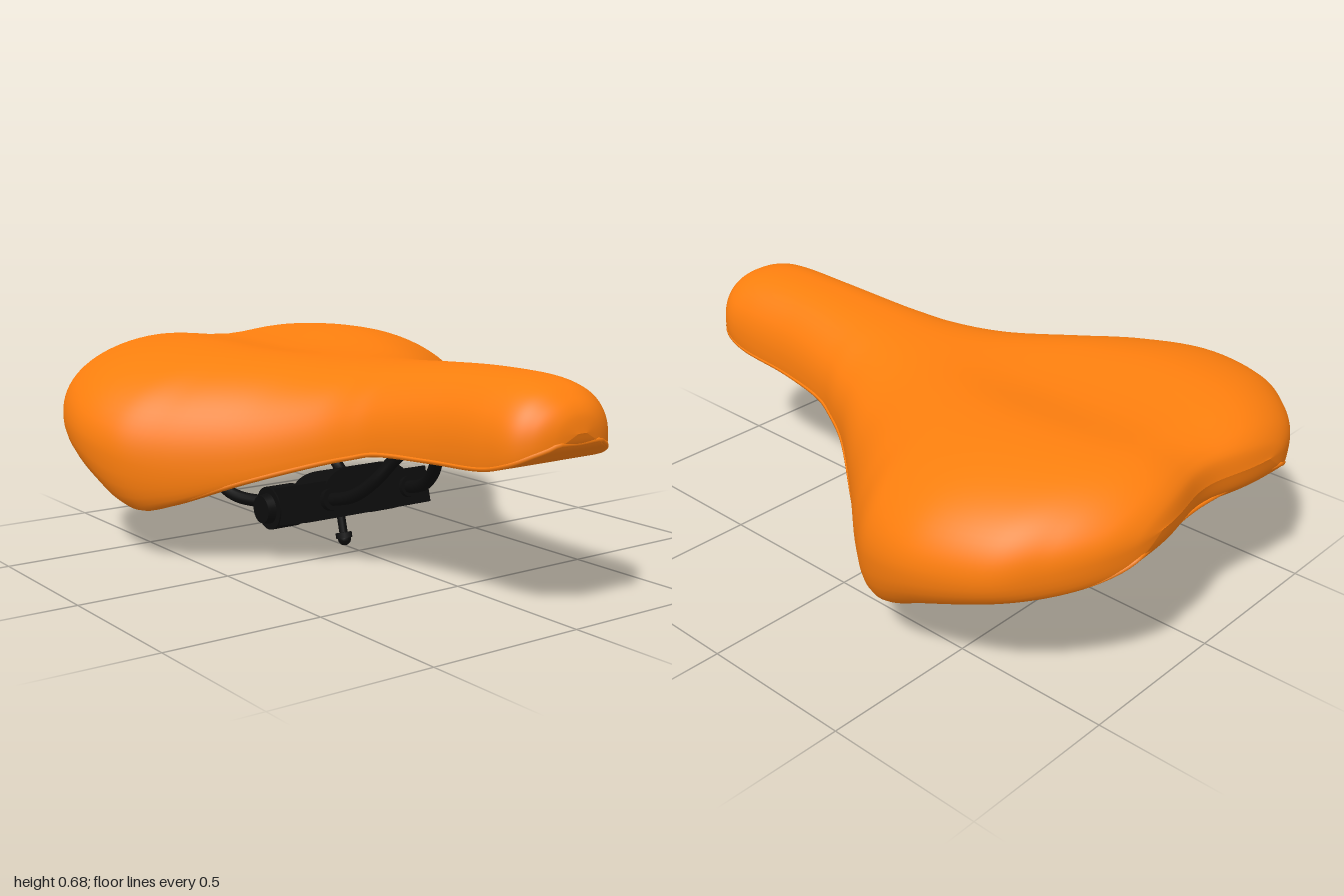
import * as THREE from 'three';

const orange = new THREE.MeshStandardMaterial({ color: 0xff7f0e, side: THREE.DoubleSide });
const black = new THREE.MeshStandardMaterial({ color: 0x0c0c0c });

// Saddle stations from tail to nose:
// x, half width, top y, widest y, lower edge y, underside y at middle, lower edge width ratio
const STATIONS = [
  [-1.0, 0.26, 0.50, 0.50, 0.50, 0.50, 1.0],
  [-0.985, 0.36, 0.567, 0.48, 0.435, 0.44, 0.97],
  [-0.94, 0.47, 0.616, 0.465, 0.395, 0.4, 0.94],
  [-0.86, 0.577, 0.652, 0.445, 0.36, 0.365, 0.92],
  [-0.74, 0.685, 0.668, 0.415, 0.327, 0.342, 0.9],
  [-0.53, 0.748, 0.672, 0.385, 0.25, 0.358, 0.87],
  [-0.34, 0.722, 0.666, 0.34, 0.16, 0.42, 0.87],
  [-0.2, 0.63, 0.66, 0.31, 0.185, 0.46, 0.93],
  [0.0, 0.46, 0.65, 0.32, 0.27, 0.49, 0.98],
  [0.18, 0.322, 0.65, 0.375, 0.338, 0.49, 0.99],
  [0.3, 0.262, 0.656, 0.41, 0.375, 0.46, 0.99],
  [0.4, 0.23, 0.663, 0.43, 0.398, 0.405, 0.99],
  [0.6, 0.2, 0.675, 0.45, 0.408, 0.41, 0.98],
  [0.8, 0.194, 0.676, 0.47, 0.42, 0.42, 0.97],
  [0.9, 0.182, 0.66, 0.49, 0.445, 0.445, 0.96],
  [0.955, 0.143, 0.628, 0.505, 0.473, 0.473, 0.96],
  [0.987, 0.085, 0.588, 0.52, 0.498, 0.498, 0.97],
  [1.0, 0.015, 0.535, 0.535, 0.535, 0.535, 1.0],
];

// Smooth value of every station column at t in 0..1
function station(t) {
  const last = STATIONS.length - 1;
  const f = t * last, i = Math.min(Math.floor(f), last - 1), u = f - i;
  const row = k => STATIONS[Math.max(0, Math.min(last, k))];
  return STATIONS[0].map((_, c) => {
    const [a, b, d, e] = [row(i - 1)[c], row(i)[c], row(i + 1)[c], row(i + 2)[c]];
    return b + 0.5 * u * (d - a + u * (2 * a - 5 * b + 4 * d - e + u * (3 * (b - d) + e - a)));
  });
}

const bump = (x, centre, width) => Math.exp(-(((x - centre) / width) ** 2));

// Hollow of the tail edge, seen from above
const notch = (x, z) => x + 0.045 * THREE.MathUtils.smoothstep(-x, 0.55, 1) * bump(z, 0, 0.16);

// Half cross-section as [z, y]: top, rounded edge, arched underside
function halfSection([x, w, top, mid, low, under, ratio]) {
  const pts = [];
  const round = 0.85 + 0.13 * bump(x, 0.08, 0.2) - 0.2 * bump(x, -0.63, 0.3);
  const groove = 0.045 * (w / 0.745) ** 2 * Math.min(1, (top - mid) / 0.12);
  for (let k = 0; k <= 24; k++) {
    const a = (k / 24) * Math.PI / 2;
    const z = w * Math.sin(a) ** round;
    const y = mid + (top - mid) * Math.max(0, Math.cos(a)) ** 0.93;
    pts.push([z, y - groove * bump(z, 0, 0.2)]);
  }
  for (let k = 1; k <= 6; k++) {
    const a = (k / 6) * Math.PI / 2;
    pts.push([w * (ratio + (1 - ratio) * Math.cos(a)), mid + (low - mid) * Math.sin(a)]);
  }
  for (let k = 0; k <= 14; k++) {
    const s = 1 - k / 14;
    pts.push([w * ratio * 0.965 * s, low + (under - low) * (1 - s ** 2.2)]);
  }
  return pts;
}

function saddleGeometry() {
  const N = 144, pos = [], idx = [];
  let M = 0;
  for (let i = 0; i <= N; i++) {
    const s = station(i / N), half = halfSection(s);
    const ring = [...half, ...half.slice(1, -1).reverse().map(([z, y]) => [-z, y])];
    M = ring.length;
    for (const [z, y] of ring) pos.push(notch(s[0], z), y, z);
  }
  for (let i = 0; i < N; i++) {
    for (let j = 0; j < M; j++) {
      const a = i * M + j, b = i * M + (j + 1) % M;
      idx.push(a, b, a + M, b, b + M, a + M);
    }
  }
  const g = new THREE.BufferGeometry();
  g.setAttribute('position', new THREE.Float32BufferAttribute(pos, 3));
  g.setIndex(idx);
  g.computeVertexNormals();
  return g;
}

// Bead that follows the lower edge all the way round
function edgeBeadGeometry() {
  const side = [];
  for (let i = 4; i < 69; i++) {
    const s = station(i / 72);
    side.push(new THREE.Vector3(s[0], s[4] + 0.008, s[1] * s[6]));
  }
  const other = side.map(p => new THREE.Vector3(p.x, p.y, -p.z)).reverse();
  const nose = new THREE.Vector3(0.985, 0.505, 0);
  const tail = new THREE.Vector3(-0.94, 0.435, 0);
  const path = new THREE.CatmullRomCurve3([...side, nose, ...other, tail], true);
  return new THREE.TubeGeometry(path, 260, 0.007, 6, true);
}

function add(parent, name, geometry, material, x = 0, y = 0, z = 0) {
  const m = new THREE.Mesh(geometry, material);
  m.name = name;
  m.position.set(x, y, z);
  parent.add(m);
  return m;
}

export function createModel() {
  const model = new THREE.Group();
  model.name = 'bicycleSaddle';
  add(model, 'saddleShell', saddleGeometry(), orange);
  add(model, 'edgeBead', edgeBeadGeometry(), orange);

  // Pair of bent rails with sleeves at the tail
  for (const side of [1, -1]) {
    const v = ([x, y, z]) => new THREE.Vector3(x, y, z * side);
    const rail = new THREE.CatmullRomCurve3([
      [-0.8, 0.352, 0.23], [-0.6, 0.293, 0.235], [-0.53, 0.235, 0.24], [-0.46, 0.165, 0.245],
      [-0.38, 0.135, 0.23], [-0.24, 0.135, 0.185], [-0.12, 0.155, 0.16], [0.03, 0.19, 0.155],
      [0.16, 0.225, 0.14], [0.24, 0.285, 0.115], [0.31, 0.37, 0.08], [0.4, 0.43, 0.06],
    ].map(v));
    add(model, 'rail', new THREE.TubeGeometry(rail, 80, 0.021, 12), black);
    const sleeve = new THREE.LineCurve3(v([-0.82, 0.36, 0.23]), v([-0.66, 0.315, 0.233]));
    add(model, 'railSleeve', new THREE.TubeGeometry(sleeve, 1, 0.026, 12), black);
  }

  // Tilted clamp under the rails, with a rounded body
  const clamp = new THREE.Group();
  clamp.name = 'clamp';
  clamp.position.set(-0.06, 0.165, 0);
  clamp.rotation.z = 0.26;
  model.add(clamp);
  const outline = new THREE.Shape();
  outline.moveTo(-0.16, -0.06).lineTo(0.16, -0.06).lineTo(0.16, 0.05);
  outline.quadraticCurveTo(0.13, 0.092, 0.06, 0.095).lineTo(-0.06, 0.095);
  outline.quadraticCurveTo(-0.13, 0.092, -0.16, 0.05);
  const body = add(clamp, 'clampBody',
    new THREE.ExtrudeGeometry(outline, { depth: 0.2, bevelEnabled: false, curveSegments: 10 }), black, -0.08);
  body.rotation.y = Math.PI / 2;
  for (const side of [1, -1]) {
    add(clamp, 'clampJaw', new THREE.BoxGeometry(0.17, 0.12, 0.09), black, 0.03, 0, side * 0.2);
    const disc = add(clamp, 'clampDisc', new THREE.CylinderGeometry(0.07, 0.07, 0.1, 32), black,
      -0.1, 0, side * 0.2);
    disc.rotation.x = Math.PI / 2;
    const cap = add(clamp, 'clampCap', new THREE.CylinderGeometry(0.045, 0.05, 0.03, 24), black,
      -0.1, 0, side * 0.263);
    cap.rotation.x = side * Math.PI / 2;
    const collar = add(clamp, 'railCollar', new THREE.CylinderGeometry(0.035, 0.035, 0.03, 16), black,
      0.12, 0.0, side * 0.155);
    collar.rotation.z = Math.PI / 2;
  }
  const barrel = add(clamp, 'clampBarrel', new THREE.CylinderGeometry(0.065, 0.065, 0.31, 32), black, -0.1);
  barrel.rotation.x = Math.PI / 2;
  add(clamp, 'boltShaft', new THREE.CylinderGeometry(0.014, 0.014, 0.12, 12), black, -0.06, -0.09);
  add(clamp, 'boltNut', new THREE.CylinderGeometry(0.03, 0.03, 0.018, 6), black, -0.06, -0.128);
  add(clamp, 'boltHead', new THREE.SphereGeometry(0.022, 16, 10), black, -0.06, -0.14);
  return model;
}
